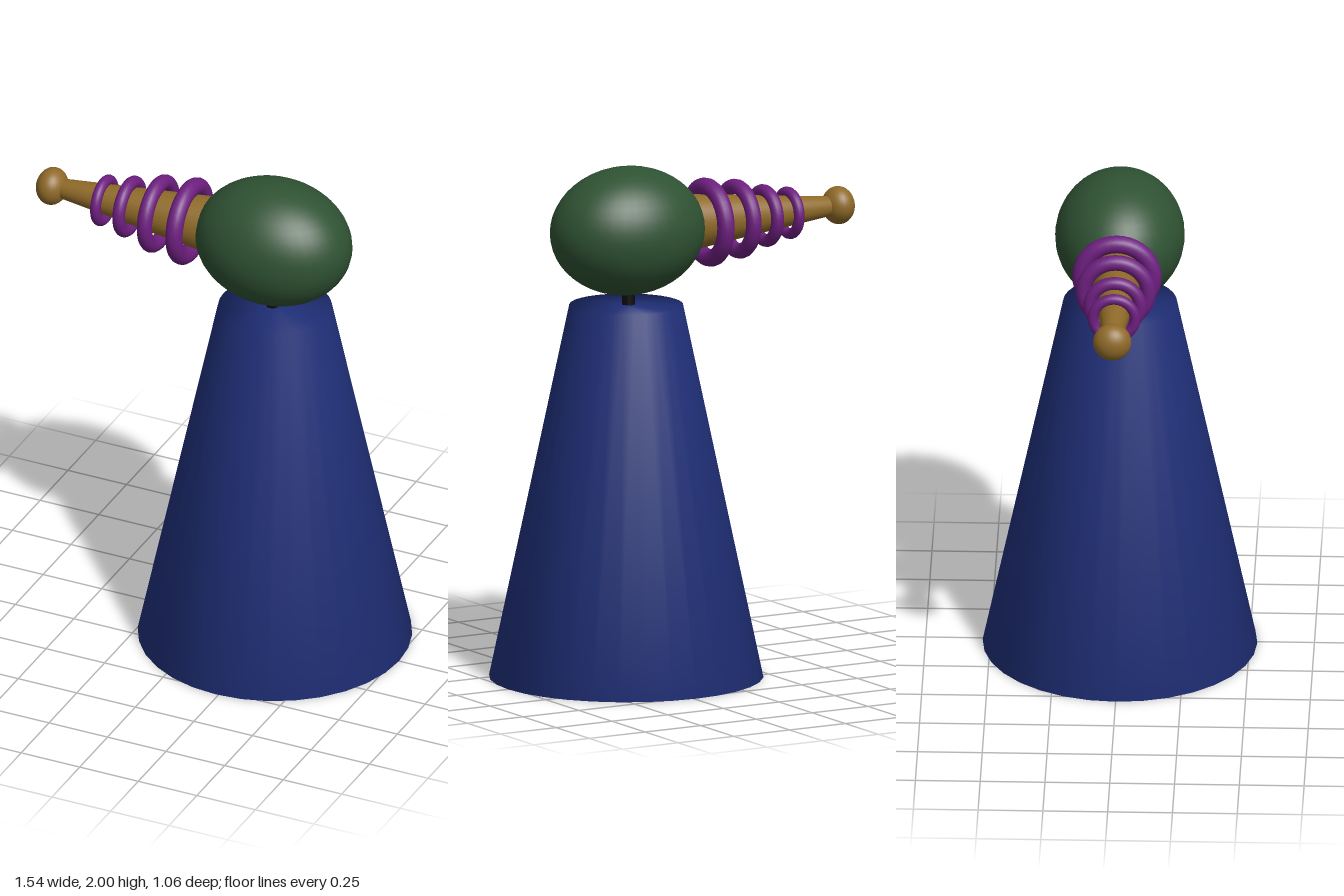
import * as THREE from 'three';
import { mergeVertices } from 'three/addons/utils/BufferGeometryUtils.js';

const CENTRE_X = 0.24; // axis of the body
const NOSE_Y = 1.755;

const green = new THREE.MeshStandardMaterial({ color: 0x2f5233 });
const blue = new THREE.MeshStandardMaterial({ color: 0x20307a });
const gold = new THREE.MeshStandardMaterial({ color: 0x8f6a28 });
const purple = new THREE.MeshStandardMaterial({ color: 0x6e1f80 });
const black = new THREE.MeshStandardMaterial({ color: 0x0c0c0c });

// Share vertices so shading runs smoothly over the rims
function smooth(geometry) {
  geometry.deleteAttribute('normal');
  geometry.deleteAttribute('uv');
  const merged = mergeVertices(geometry, 1e-4);
  merged.computeVertexNormals();
  return merged;
}

export function createModel() {
  const model = new THREE.Group();
  model.name = 'coneFigure';

  function add(name, geometry, material, x, y) {
    const mesh = new THREE.Mesh(geometry, material);
    mesh.name = name;
    mesh.position.set(x, y, 0);
    model.add(mesh);
    return mesh;
  }

  // Body: closed tapered cone
  add('body', smooth(new THREE.CylinderGeometry(0.22, 0.53, 1.46, 32)), blue, CENTRE_X, 0.73);

  // Neck: thin peg between body and head
  add('neck', new THREE.CylinderGeometry(0.025, 0.025, 0.12, 16), black, 0.23, 1.49);

  // Head: sphere stretched along x
  const head = new THREE.SphereGeometry(0.25, 40, 24);
  head.scale(1.26, 1, 1);
  add('head', head, green, 0.235, 1.75);

  // Nose: long cone pointing to -x, with its base inside the head
  const nose = smooth(new THREE.CylinderGeometry(0.035, 0.115, 0.71, 32));
  nose.rotateZ(Math.PI / 2);
  add('nose', nose, gold, -0.345, NOSE_Y);

  // Ball on the nose tip, slightly flattened along x
  const tip = new THREE.SphereGeometry(0.074, 28, 18);
  tip.scale(0.82, 1, 1);
  add('noseTip', tip, gold, -0.711, NOSE_Y);

  // Rings around the nose: [x, outer radius, tube radius]
  const rings = [
    [-0.125, 0.173, 0.034],
    [-0.258, 0.155, 0.03],
    [-0.381, 0.122, 0.025],
    [-0.488, 0.102, 0.021],
  ];
  rings.forEach(([x, outer, tube], i) => {
    const ring = new THREE.TorusGeometry(outer - tube, tube, 14, 40);
    ring.rotateY(Math.PI / 2);
    add('noseRing' + (i + 1), ring, purple, x, 1.747);
  });

  return model;
}
